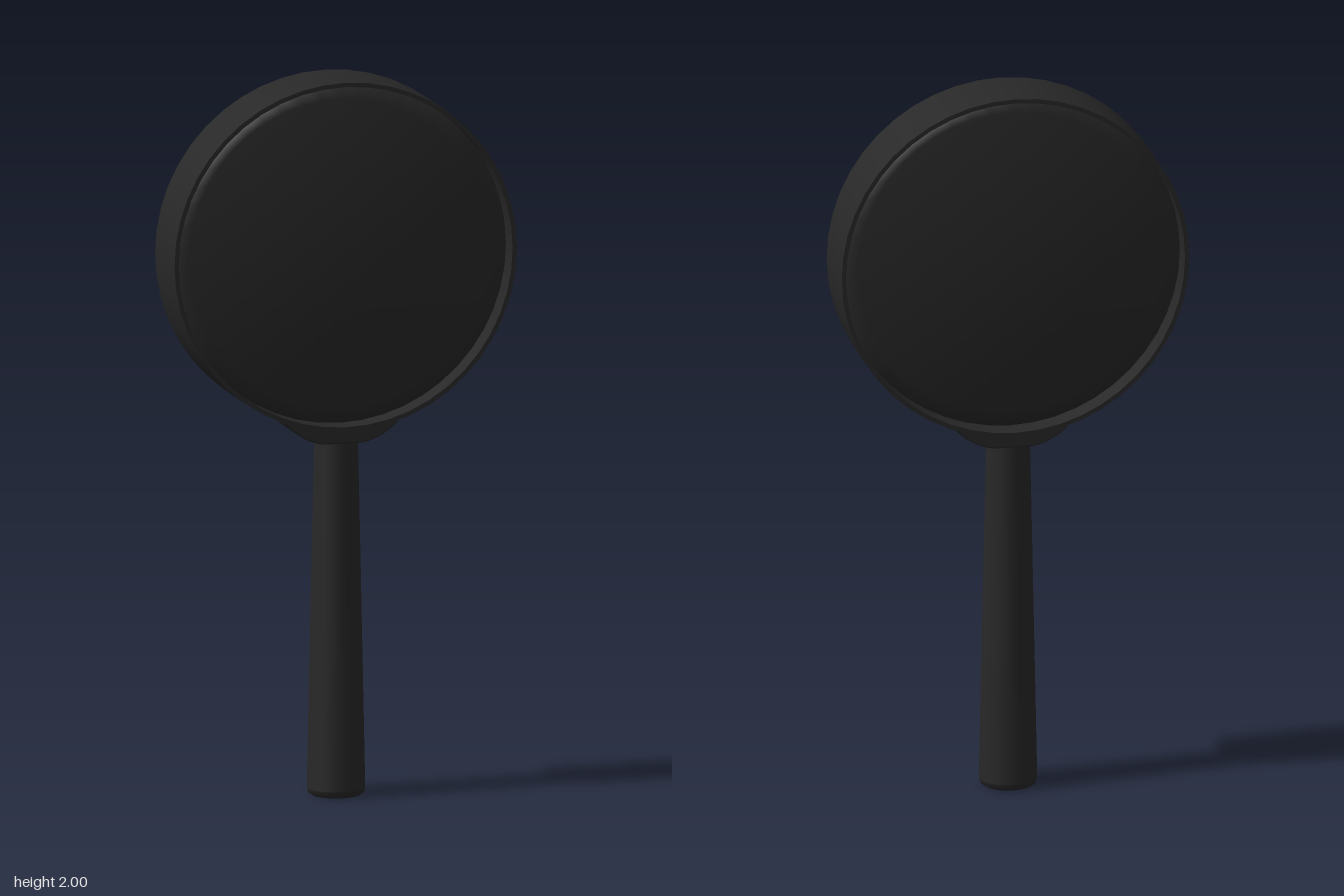
import * as THREE from 'three';

const RADIUS = 0.486, CENTER_Y = 1.514, HALF_DEPTH = 0.098;

// Lathe from [radius, height] pairs; repeated points give sharp edges
function lathe(points, segments) {
  return new THREE.LatheGeometry(points.map(([r, y]) => new THREE.Vector2(r, y)), segments);
}

export function createModel() {
  const group = new THREE.Group();
  const black = new THREE.MeshStandardMaterial({ color: 0x282828 });
  black.name = 'matte black';

  function add(name, geometry, y = 0) {
    const mesh = new THREE.Mesh(geometry, black);
    mesh.name = name;
    mesh.position.y = y;
    group.add(mesh);
    return mesh;
  }

  // Rim: thin-walled band around the lens, open at both faces
  const inner = RADIUS - 0.012;
  const h = HALF_DEPTH;
  const rimProfile = [
    [RADIUS, -h], [RADIUS, -h], [RADIUS, h], [RADIUS, h],
    [inner, h], [inner, h], [inner, -h], [inner, -h], [RADIUS, -h],
  ];
  add('rim', lathe(rimProfile, 48), CENTER_Y).rotation.x = Math.PI / 2;

  // Lens: biconvex disc, its edge recessed inside the rim
  const edge = 0.03, bulge = 0.045, steps = 10;
  const lensProfile = [];
  for (const side of [-1, 1]) {
    for (let i = 0; i <= steps; i++) {
      const t = side < 0 ? i / steps : 1 - i / steps;
      lensProfile.push([t * (inner + 0.002), side * (edge + bulge * (1 - t * t))]);
    }
  }
  add('lens', lathe(lensProfile, 48), CENTER_Y).rotation.x = Math.PI / 2;

  // Collar: crescent block joining the rim to the handle
  const shape = new THREE.Shape();
  shape.moveTo(-0.17, 1.066);
  shape.quadraticCurveTo(-0.12, 1.005, -0.055, 0.994);
  shape.lineTo(0.055, 0.994);
  shape.quadraticCurveTo(0.12, 1.005, 0.17, 1.066);
  shape.absarc(0, CENTER_Y, RADIUS - 0.006, -Math.PI / 2 + 0.36, -Math.PI / 2 - 0.36, true);
  const collar = new THREE.ExtrudeGeometry(shape, {
    depth: 0.138, bevelThickness: 0.006, bevelSize: 0.005, bevelSegments: 2, curveSegments: 10,
  });
  collar.translate(0, 0, -0.069);
  add('collar', collar);

  // Handle: tapered grip with a softly rounded foot
  add('handle', lathe([
    [0, 0], [0.066, 0], [0.076, 0.006], [0.08, 0.02], [0.08, 0.02],
    [0.06, 1.0], [0.06, 1.0], [0, 1.0],
  ], 24));

  return group;
}
